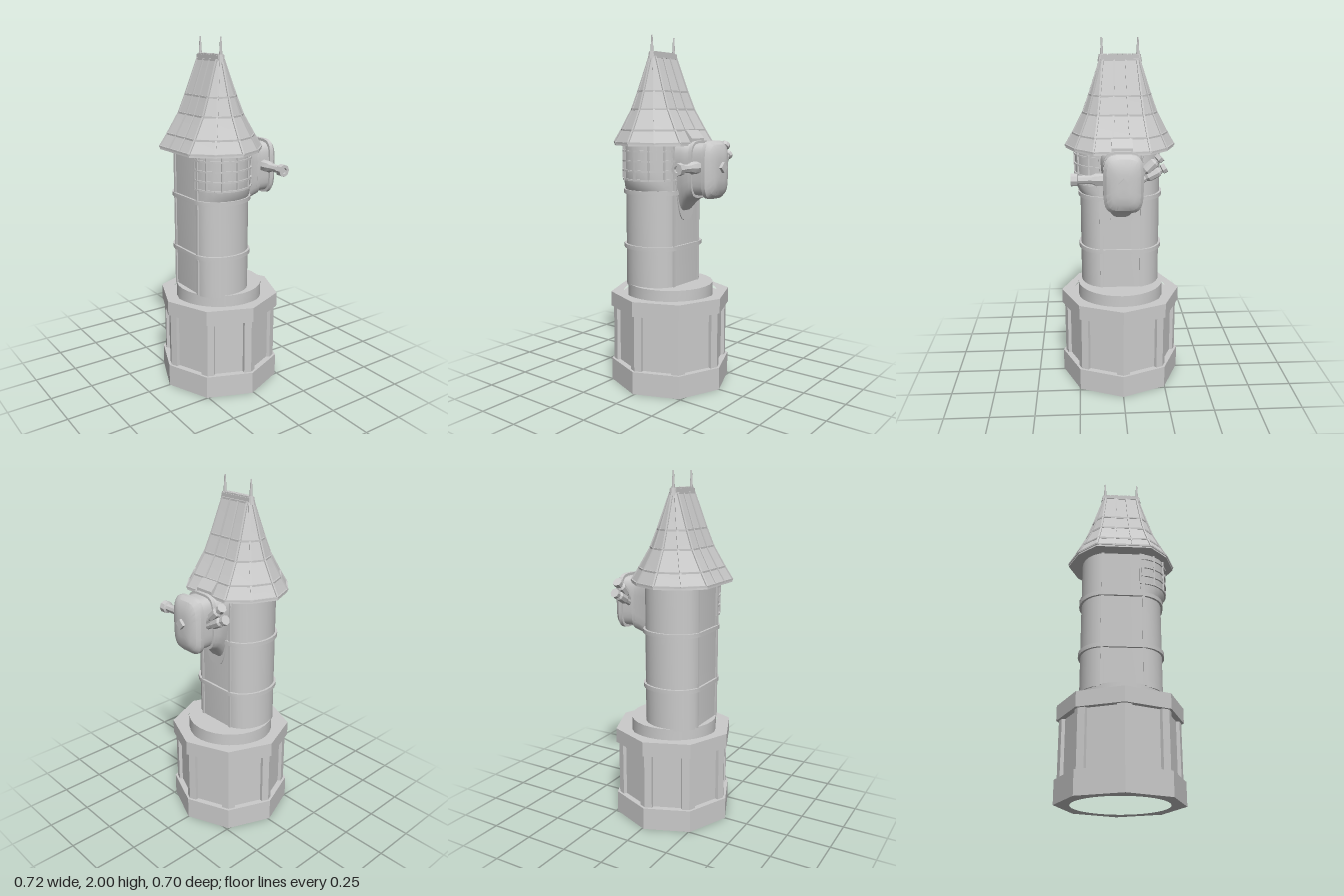
import * as THREE from 'three';
import { toCreasedNormals } from 'three/addons/utils/BufferGeometryUtils.js';

const V = (x, y, z) => new THREE.Vector3(x, y, z);
const mat = new THREE.MeshStandardMaterial({ color: 0xcccccc });
const CX = -0.0625; // tower axis
const BX = -0.01;   // base axis

function add(parent, name, geo, crease = 0.5) {
  const m = new THREE.Mesh(toCreasedNormals(geo, crease), mat);
  m.name = name;
  parent.add(m);
  return m;
}

// closed solid through rings of equal point count, turned outward by its signed volume
function loft(rings) {
  const tris = [], n = rings[0].length;
  for (let i = 0; i + 1 < rings.length; i++) {
    for (let j = 0; j < n; j++) {
      const k = (j + 1) % n, [p, q] = [rings[i], rings[i + 1]];
      tris.push([p[j], p[k], q[k]], [p[j], q[k], q[j]]);
    }
  }
  [rings[0], rings[rings.length - 1]].forEach((r, end) => {
    const c = r.reduce((s, p) => s.add(p), V(0, 0, 0)).divideScalar(n);
    for (let j = 0; j < n; j++) {
      const k = (j + 1) % n;
      tris.push(end ? [r[j], r[k], c] : [r[k], r[j], c]);
    }
  });
  const vol = tris.reduce((s, [a, b, c]) => s + a.dot(b.clone().cross(c)), 0);
  const pts = tris.flatMap(([a, b, c]) => (vol < 0 ? [a, c, b] : [a, b, c]));
  return new THREE.BufferGeometry().setFromPoints(pts);
}

// rectangular bar between two points
function bar(parent, name, a, b, w = 0.012, h = w) {
  const m = add(parent, name, new THREE.BoxGeometry(w, h, a.distanceTo(b) + w * 0.5));
  m.position.copy(a).lerp(b, 0.5);
  m.lookAt(b);
}

// vertical extrusion of a plan outline, with optional round hole
function slab(pts, y0, y1, hole = 0) {
  const s = new THREE.Shape(pts.map(([x, z]) => new THREE.Vector2(x, -z)));
  if (hole) s.holes.push(new THREE.Path().absarc(BX, 0, hole, 0, Math.PI * 2, true));
  return new THREE.ExtrudeGeometry(s, { depth: y1 - y0, bevelEnabled: false, curveSegments: 20 })
    .rotateX(-Math.PI / 2).translate(0, y0, 0);
}

const octagon = (r) => Array.from({ length: 8 }, (_, i) =>
  [BX + r * Math.cos(i * Math.PI / 4), r * Math.sin(i * Math.PI / 4)]);

// tower plan: flat sides, rounded front and back
function towerPlan(o = 0) {
  const pts = [];
  for (const s of [1, -1]) {
    for (let i = 0; i <= 12; i++) {
      const a = i * Math.PI / 12;
      pts.push([CX + s * (0.165 + o) * Math.cos(a), s * (0.1 + (0.13 + o) * Math.sin(a))]);
    }
  }
  return pts;
}

function buildBase() {
  const g = new THREE.Group();
  g.name = 'base';
  add(g, 'footRing', slab(octagon(0.35), 0, 0.13, 0.265));
  add(g, 'drum', slab(octagon(0.315), 0.12, 0.51));
  add(g, 'rimRing', slab(octagon(0.35), 0.45, 0.535, 0.275));
  for (let i = 0; i < 8; i++) {
    const at = (r, k) => octagon(r)[(k + 8) % 8];
    const mix = (r, k, t) => at(r, i).map((v, d) => v + (at(r, k)[d] - v) * t);
    add(g, 'cornerPilaster', slab([mix(0.335, i - 1, 0.16), at(0.335, i), mix(0.335, i + 1, 0.16),
      mix(0.3, i + 1, 0.16), at(0.3, i), mix(0.3, i - 1, 0.16)], 0.12, 0.46));
  }
  add(g, 'plinth', new THREE.CylinderGeometry(0.25, 0.25, 0.1, 28).translate(BX, 0.54, 0));
  return g;
}

function buildTower() {
  const g = new THREE.Group();
  g.name = 'tower';
  add(g, 'shaft', slab(towerPlan(), 0.58, 1.41));
  for (const y of [0.8, 1.115]) add(g, 'band', slab(towerPlan(0.013), y, y + 0.024));
  for (const x of [-1, 1]) {
    for (const z of [-1, 1]) bar(g, 'cornerRib', V(CX + x * 0.163, 0.59, z * 0.115), V(CX + x * 0.163, 1.4, z * 0.115), 0.016);
  }
  // swelling bay window with lattice
  const bay = (y, d, o = 0) => Array.from({ length: 13 }, (_, i) => {
    const a = i * Math.PI / 12;
    return V(CX + (0.167 + o) * Math.cos(a), y, 0.1 + (0.13 + d + o) * Math.sin(a));
  });
  const levels = [[1.13, 0], [1.16, 0.016], [1.2, 0.026], [1.25, 0.028], [1.305, 0.028], [1.36, 0.028], [1.41, 0.028]];
  add(g, 'bayWindow', loft(levels.map(([y, d]) => bay(y, d))), 0.7);
  const bars = levels.map(([y, d]) => bay(y, d, 0.003));
  for (let l = 2; l < bars.length; l++) {
    for (let j = 0; j < 12; j++) {
      bar(g, 'latticeRail', bars[l][j], bars[l][j + 1], 0.01);
      if (l > 2 && j % 2 === 0) bar(g, 'latticePost', bars[l - 1][j], bars[l][j], 0.01);
    }
    if (l > 2) bar(g, 'latticePost', bars[l - 1][12], bars[l][12], 0.01);
  }
  return g;
}

function buildRoof() {
  const g = new THREE.Group();
  g.name = 'roof';
  const eave = [[0.24, 0.155], [0.14, 0.255], [0, 0.312], [-0.14, 0.255], [-0.24, 0.155]];
  const ridge = [[0.024, 0.095], [0.015, 0.105], [0, 0.11], [-0.015, 0.105], [-0.024, 0.095]];
  const ring = (y, t) => [1, -1].flatMap((s) => eave.map(([x, z], i) => {
    const [rx, rz] = ridge[i];
    return V(CX + s * (rx + (x - rx) * t), y, s * (rz + (z - rz) * t));
  }));
  const rings = [[1.39, 1], [1.405, 0.99], [1.475, 0.79], [1.59, 0.49], [1.69, 0.31], [1.88, 0]].map(([y, t]) => ring(y, t));
  add(g, 'roofShell', loft(rings), 0.05);
  for (let l = 1; l < rings.length; l++) {
    const [lo, hi] = [rings[l], rings[l - 1]];
    for (let j = 0; j < 10; j++) {
      const k = (j + 1) % 10;
      bar(g, 'batten', lo[j], lo[k], 0.01);
      if (l < 2) continue;
      bar(g, 'hipRib', hi[j], lo[j], 0.01);
      // two dividers on each long side
      if (j % 5 === 4) {
        for (const t of [1 / 3, 2 / 3]) bar(g, 'rafter', hi[j].clone().lerp(hi[k], t), lo[j].clone().lerp(lo[k], t), 0.01);
      }
    }
  }
  add(g, 'ridgeCap', new THREE.BoxGeometry(0.042, 0.03, 0.21).translate(CX, 1.89, 0));
  for (let i = -3; i <= 3; i++) add(g, 'ridgeTile', new THREE.BoxGeometry(0.034, 0.012, 0.022).translate(CX, 1.906, i * 0.027));
  for (const s of [1, -1]) {
    add(g, 'finialFoot', new THREE.CylinderGeometry(0.016, 0.024, 0.04, 8).translate(CX, 1.89, s * 0.1));
    add(g, 'finial', new THREE.CylinderGeometry(0.004, 0.01, 0.11, 8).translate(CX, 1.945, s * 0.1));
  }
  return g;
}

// rounded section in the yz plane, optionally narrowing downward
function section(x, hw, y0, y1, taper = 0, e = 0.5) {
  const sp = (v) => Math.sign(v) * Math.abs(v) ** e;
  return Array.from({ length: 24 }, (_, i) => {
    const a = (i + 0.5) * Math.PI / 12, s = sp(Math.sin(a));
    return V(x, (y0 + y1) / 2 + s * (y1 - y0) / 2, hw * sp(Math.cos(a)) * (1 - taper * (1 - s) / 2));
  });
}

function buildPod() {
  const g = new THREE.Group();
  g.name = 'sidePod';
  add(g, 'bracketPlate', loft([section(0.08, 0.15, 0.96, 1.44, 0.55), section(0.108, 0.145, 0.965, 1.435, 0.55)]));
  add(g, 'bracket', loft([section(0.1, 0.135, 1.01, 1.425, 0.5), section(0.14, 0.125, 1.06, 1.42, 0.3),
    section(0.17, 0.112, 1.085, 1.41, 0.1), section(0.21, 0.105, 1.1, 1.405)]), 0.7);
  add(g, 'podBody', loft([section(0.2, 0.095, 1.115, 1.405), section(0.29, 0.095, 1.115, 1.405)]), 0.7);
  add(g, 'podCollar', loft([section(0.19, 0.106, 1.1, 1.418), section(0.212, 0.106, 1.1, 1.418)]), 0.7);
  add(g, 'podCover', loft([section(0.28, 0.108, 1.1, 1.42), section(0.303, 0.108, 1.1, 1.42),
    section(0.325, 0.092, 1.12, 1.4), section(0.341, 0.065, 1.155, 1.365), section(0.346, 0.035, 1.2, 1.32)]), 0.4);
  add(g, 'coverKnob', new THREE.CylinderGeometry(0.03, 0.03, 0.025, 4).rotateZ(Math.PI / 2).translate(0.35, 1.275, 0));
  // small hood where the pod meets the eaves
  const hood = [[0.08, 1.4], [0.185, 1.4], [0.185, 1.43], [0.145, 1.475], [0.08, 1.475]];
  add(g, 'hood', loft([-0.058, 0.058].map((z) => hood.map(([x, y]) => V(x, y, z)))));

  // octagonal spouts, profile given as radius and distance
  const spout = (name, prof, pos, tilt) => {
    const m = add(g, name, new THREE.LatheGeometry(prof.map(([r, d]) => new THREE.Vector2(r, d)), 8));
    m.position.copy(pos);
    m.rotation.x = tilt;
  };
  spout('frontSpout', [[0, 0], [0.034, 0], [0.034, 0.06], [0.023, 0.085], [0.023, 0.155], [0.035, 0.16],
    [0.035, 0.194], [0.018, 0.194], [0.018, 0.18], [0, 0.18]], V(0.245, 1.275, 0.085), Math.PI / 2);
  const rear = [[0, 0], [0.018, 0], [0.018, 0.05], [0.028, 0.065], [0.028, 0.125], [0.018, 0.135],
    [0.018, 0.145], [0.027, 0.15], [0.027, 0.172], [0, 0.172]];
  spout('rearUpperSpout', rear, V(0.24, 1.275, -0.08), -0.8);
  spout('rearLowerSpout', rear, V(0.24, 1.255, -0.08), -1.08);
  return g;
}

export function createModel() {
  const model = new THREE.Group();
  model.name = 'towerModel';
  model.add(buildBase(), buildTower(), buildRoof(), buildPod());
  return model;
}
